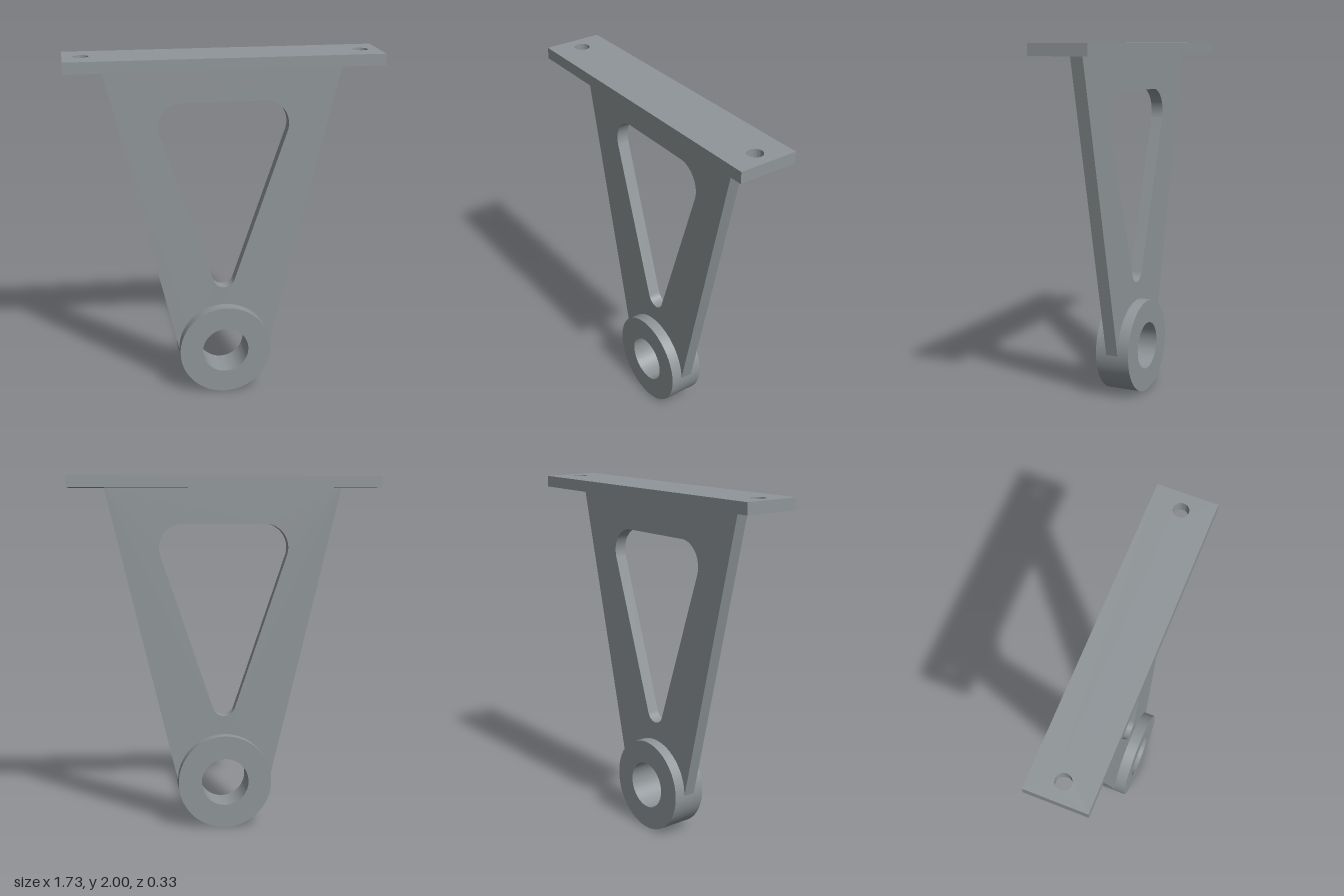
import * as THREE from 'three';
import { toCreasedNormals } from 'three/addons/utils/BufferGeometryUtils.js';

const steel = new THREE.MeshStandardMaterial({ color: 0x8f9598 });
steel.name = 'grey steel';

// Extrude a shape symmetrically about z = 0, smooth on arcs and sharp on edges
function slab(name, shape, depth) {
  const geometry = new THREE.ExtrudeGeometry(shape, { depth, bevelEnabled: false, curveSegments: 48 });
  geometry.translate(0, 0, -depth / 2);
  const mesh = new THREE.Mesh(toCreasedNormals(geometry, 0.5), steel);
  mesh.name = name;
  return mesh;
}

function circle(x, y, r) {
  return new THREE.Path().absarc(x, y, r, 0, Math.PI * 2, false);
}

export function createModel() {
  const group = new THREE.Group();
  group.name = 'hangingBracket';
  const R = 0.267, plateBottom = 1.937;

  // Mounting plate with two bolt holes, drawn flat and laid horizontal
  const plateShape = new THREE.Shape();
  plateShape.moveTo(-0.865, -0.165).lineTo(0.865, -0.165).lineTo(0.865, 0.165).lineTo(-0.865, 0.165).closePath();
  for (const side of [-1, 1]) plateShape.holes.push(circle(side * 0.765, 0, 0.042));
  const plate = slab('mountingPlate', plateShape, 2 - plateBottom);
  plate.rotation.x = -Math.PI / 2;
  plate.position.y = (2 + plateBottom) / 2;
  group.add(plate);

  // Tapered web, its lower end seated inside the ring wall
  const webShape = new THREE.Shape();
  webShape.moveTo(0.665, plateBottom).lineTo(-0.665, plateBottom).lineTo(-R, R).lineTo(-0.2, R);
  webShape.absarc(0, R, 0.2, Math.PI, 0, true);
  webShape.lineTo(R, R).closePath();

  // Rounded triangular window: three arcs joined by tangent lines
  const tilt = 0.327;
  const opening = new THREE.Path();
  opening.absarc(0.23, 1.602, 0.135, -tilt, Math.PI / 2, false);
  opening.absarc(-0.23, 1.602, 0.135, Math.PI / 2, Math.PI + tilt, false);
  opening.absarc(0, 0.705, 0.065, Math.PI + tilt, Math.PI * 2 - tilt, false);
  opening.closePath();
  webShape.holes.push(opening);
  group.add(slab('web', webShape, 0.07));

  // Bearing ring at the foot
  const ringShape = new THREE.Shape().absarc(0, R, R, 0, Math.PI * 2, false);
  ringShape.holes.push(circle(0, R, 0.135));
  group.add(slab('bearingRing', ringShape, 0.2));

  return group;
}
